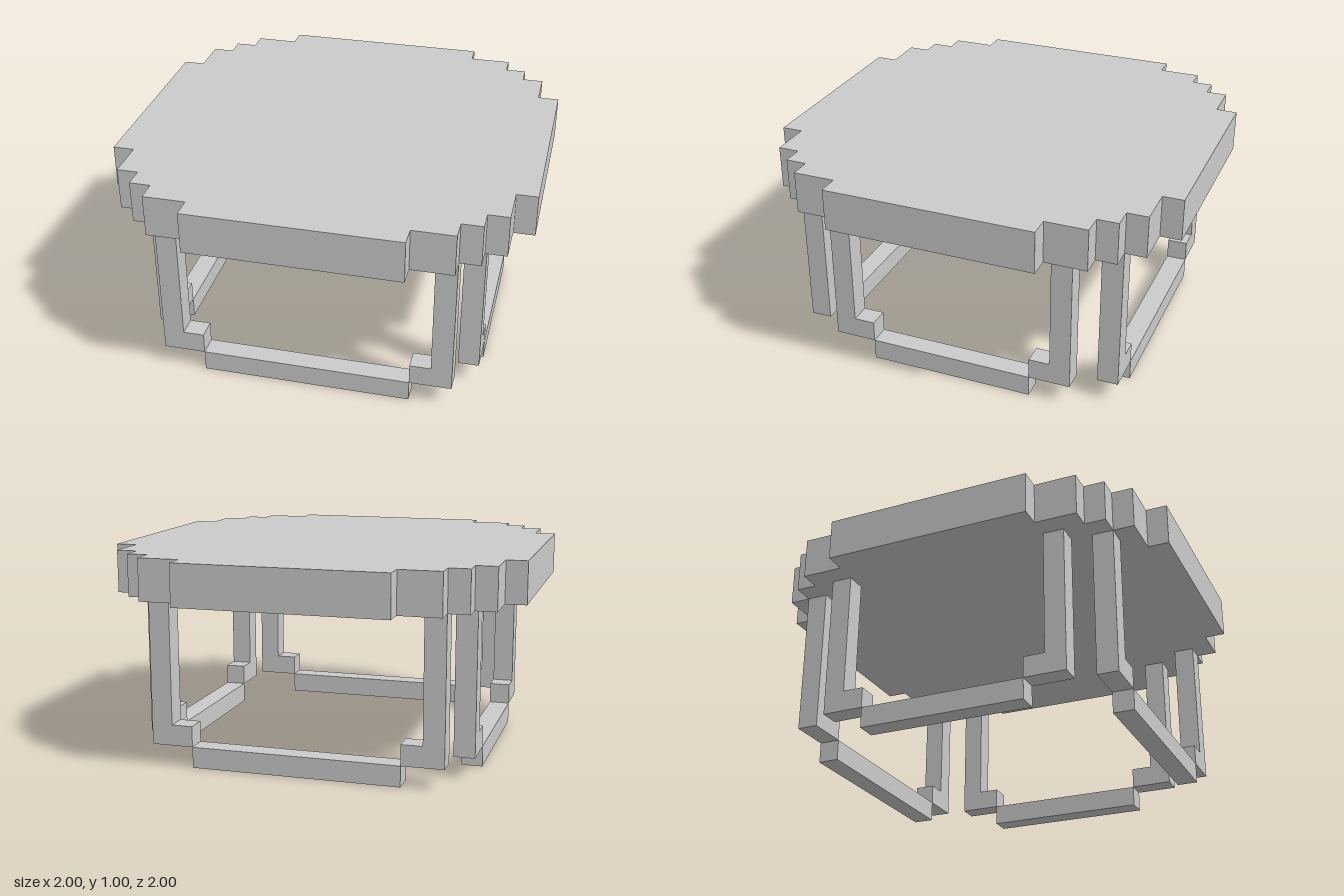
import * as THREE from 'three';

const material = new THREE.MeshStandardMaterial({ color: 0xcccccc, flatShading: true });
const T = 0.1; // thickness of every bar

// Table top: a stepped disc, one quarter outline mirrored into four
function createTop() {
  const quarter = [[1, 0.5], [0.9, 0.5], [0.9, 0.7], [0.8, 0.7], [0.8, 0.8],
    [0.7, 0.8], [0.7, 0.9], [0.5, 0.9], [0.5, 1]];
  const outline = [];
  for (const [sx, sy] of [[1, 1], [-1, 1], [-1, -1], [1, -1]]) {
    const corner = quarter.map(([x, y]) => new THREE.Vector2(x * sx, y * sy));
    outline.push(...(sx * sy > 0 ? corner : corner.reverse()));
  }
  const geometry = new THREE.ExtrudeGeometry(new THREE.Shape(outline), { depth: 0.2, bevelEnabled: false });
  geometry.rotateX(-Math.PI / 2);
  const top = new THREE.Mesh(geometry, material);
  top.name = 'tableTop';
  top.position.y = 0.8;
  return top;
}

function bar(name, width, height, x, y) {
  const mesh = new THREE.Mesh(new THREE.BoxGeometry(width, height, T), material);
  mesh.name = name;
  mesh.position.set(x, y, 0.75);
  return mesh;
}

// Leg frame: a floor rail, and on each side an L-shaped leg and foot
function createFrame(name, railHalf, angle) {
  const frame = new THREE.Group();
  frame.name = name;
  frame.add(bar('floorRail', railHalf * 2, T, 0, T / 2));
  for (const side of [-1, 1]) {
    frame.add(bar('leg', T, 0.7, side * (railHalf + 0.15), 0.45));
    frame.add(bar('legFoot', T, T, side * (railHalf + 0.05), 0.15));
  }
  frame.rotation.y = angle;
  return frame;
}

export function createModel() {
  const table = new THREE.Group();
  table.name = 'table';
  table.add(
    createTop(),
    createFrame('frontFrame', 0.5, 0),
    createFrame('leftFrame', 0.4, Math.PI / 2),
    createFrame('backFrame', 0.5, Math.PI),
    createFrame('rightFrame', 0.4, -Math.PI / 2),
  );
  return table;
}
